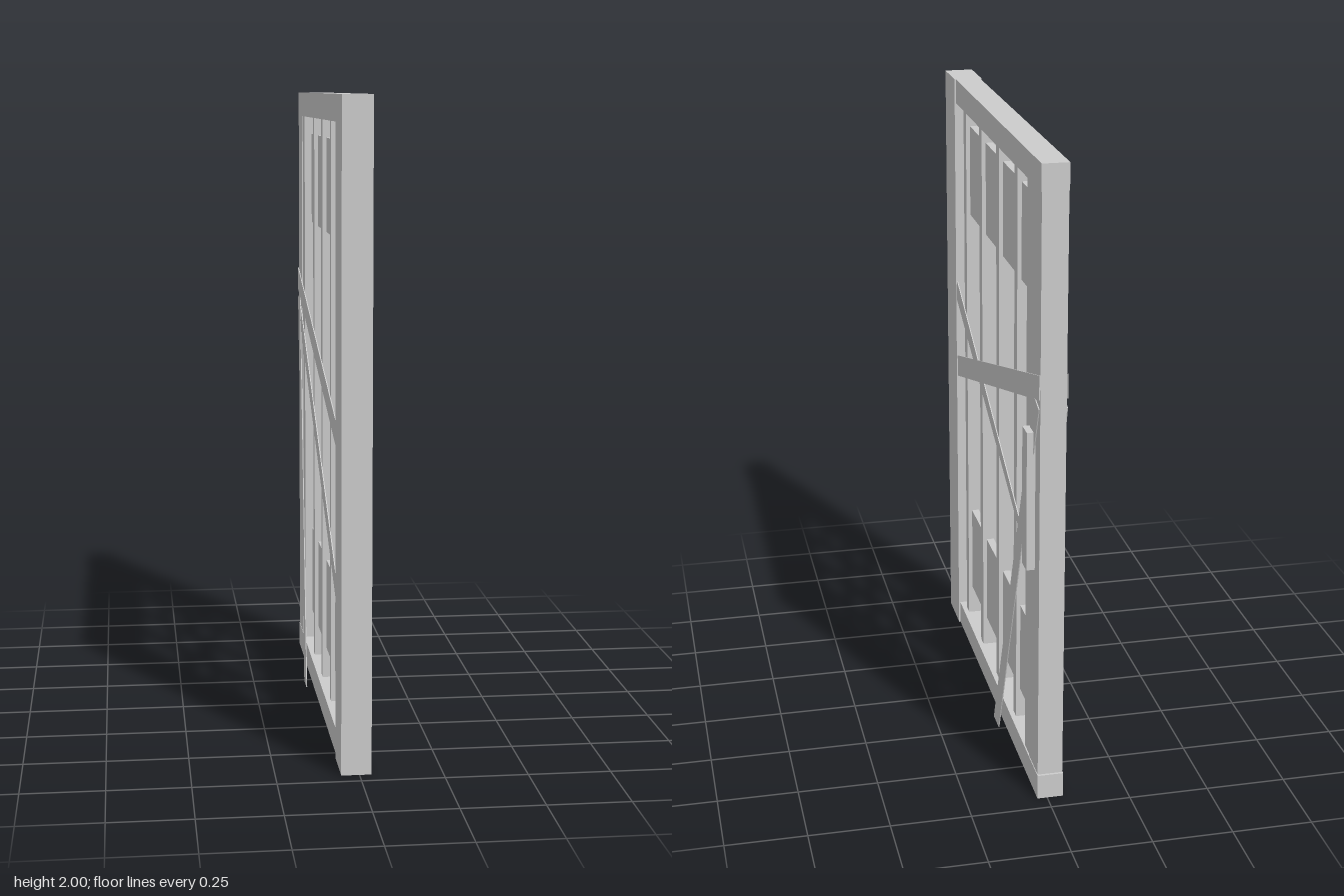
import * as THREE from 'three';

export function createModel() {
  const group = new THREE.Group();
  const grey = new THREE.MeshStandardMaterial({ color: 0xcccccc });
  grey.name = 'plain grey';

  function add(name, geometry) {
    const mesh = new THREE.Mesh(geometry, grey);
    mesh.name = name;
    group.add(mesh);
    return mesh;
  }

  // box given by its limits on each axis
  function block(name, x0, x1, y0, y1, z0, z1) {
    const mesh = add(name, new THREE.BoxGeometry(x1 - x0, y1 - y0, z1 - z0));
    mesh.position.set((x0 + x1) / 2, (y0 + y1) / 2, (z0 + z1) / 2);
  }

  // thin board outlined by [z, y] corners, its foot leaning away from the door
  function board(name, corners, side, lean = 0) {
    const shape = new THREE.Shape(corners.map(([z, y]) => new THREE.Vector2(-z, y)));
    const geo = new THREE.ExtrudeGeometry(shape, { depth: 0.003, bevelEnabled: false });
    geo.rotateY(Math.PI / 2);
    geo.translate(side > 0 ? 0.03 : -0.053, 0, 0);
    const p = geo.attributes.position;
    for (let i = 0; i < p.count; i++) {
      p.setX(i, p.getX(i) + side * lean * (1 - p.getY(i) / 1.3));
    }
    geo.computeVertexNormals();
    add(name, geo);
  }

  // outer frame
  block('frontPost', -0.055, 0.036, 0.08, 1.92, 0.54, 0.70);
  block('backPost', -0.046, 0.027, 0.08, 1.92, -0.686, -0.50);
  block('backPostEdge', -0.049, 0.029, 0.08, 1.92, -0.687, -0.57);
  block('topRail', -0.05, 0.031, 1.92, 2, -0.69, 0.54);
  block('topRailEnd', -0.055, 0.036, 1.92, 2, 0.54, 0.70);
  block('bottomRail', -0.05, 0.031, 0, 0.08, -0.695, 0.54);
  block('bottomRailEnd', -0.055, 0.036, 0, 0.08, 0.54, 0.70);

  // upright bars and the two panels between them
  for (const z of [0.475, 0.22, -0.04, -0.30]) {
    block('bar', -0.035, 0.015, 0.08, 1.92, z - 0.02, z + 0.02);
  }
  block('upperPanel', -0.022, 0.002, 1.56, 1.86, -0.50, 0.46);
  block('lowerPanel', -0.022, 0.002, 0.18, 0.48, -0.50, 0.46);

  // handle
  block('handle', 0.026, 0.055, 0.75, 1.19, -0.63, -0.57);

  // boards nailed across both faces
  for (const side of [1, -1]) {
    board('risingBoard', [[0.54, 0.96], [-0.688, 1.31], [-0.688, 1.385], [0.54, 1.035]], side);
    board('leaningBoard', [[-0.165, 0], [-0.24, 0], [-0.685, 1.28], [-0.62, 1.3]], side, 0.023);
  }
  board('fallingBoard', [[0.54, 1.235], [-0.57, 0.735], [-0.57, 0.77], [-0.50, 0.80], [0.54, 1.305]], 1);
  board('steepBoard', [[0.54, 0.49], [-0.62, 1.20], [-0.62, 1.27], [0.54, 0.56]], -1);

  return group;
}
